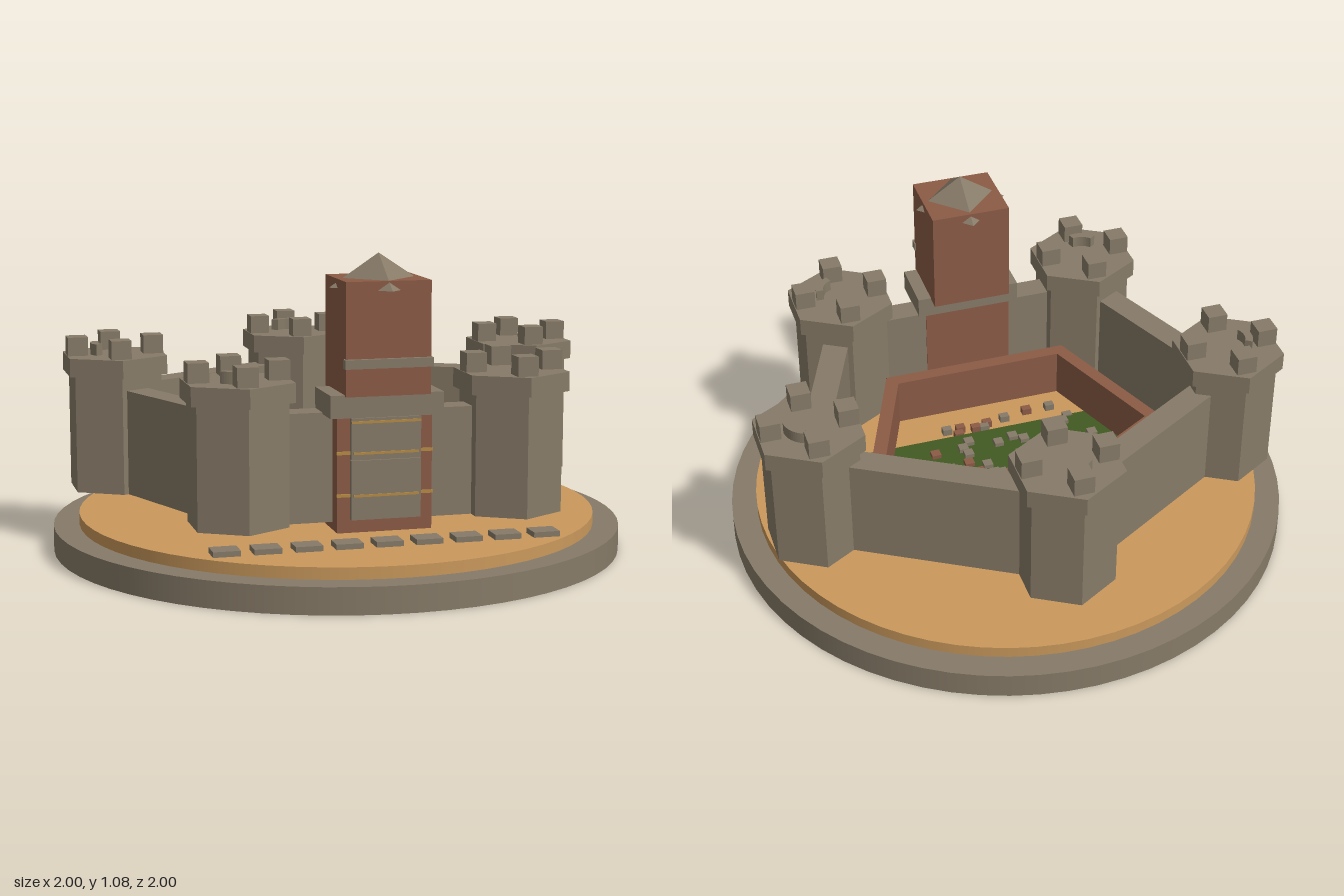
import * as THREE from 'three';

const mat = (name, color) => {
  const m = new THREE.MeshStandardMaterial({ color });
  m.name = name;
  return m;
};

export function createModel() {
  const model = new THREE.Group();
  model.name = 'fortress';
  const stone = mat('stone', 0x877b68);
  const brick = mat('brick', 0x8c5b46);
  const sand = mat('sand', 0xca995c);
  const grass = mat('grass', 0x425a22);
  const brass = mat('brass', 0xb58b45);

  const add = (name, geo, material, x, y, z, parent = model) => {
    const m = new THREE.Mesh(geo, material);
    m.name = name;
    m.position.set(x, y, z);
    parent.add(m);
    return m;
  };
  // Box given by its centre in x and z, and its bottom and top heights
  const box = (name, material, x, z, w, d, y0, y1, parent) =>
    add(name, new THREE.BoxGeometry(w, y1 - y0, d), material, x, (y0 + y1) / 2, z, parent);
  // Straight wall between two points [x, z]
  const wall = (name, material, a, b, thick, y0, y1, extra = 0) => {
    const dx = b[0] - a[0], dz = b[1] - a[1];
    const m = box(name, material, (a[0] + b[0]) / 2, (a[1] + b[1]) / 2,
      Math.hypot(dx, dz) + extra, thick, y0, y1);
    m.rotation.y = -Math.atan2(dz, dx);
  };

  // Round base and sandy ground
  add('base', new THREE.CylinderGeometry(1, 1, 0.09, 64), stone, 0, 0.045, 0);
  add('ground', new THREE.CylinderGeometry(0.91, 0.91, 0.05, 64), sand, 0, 0.105, 0);

  // Five hexagonal towers, in ring order
  const towers = [[0.755, -0.205], [0.47, 0.513], [-0.465, 0.513], [-0.755, -0.205], [-0.005, -0.645]];
  const bodyGeo = new THREE.CylinderGeometry(0.175, 0.175, 0.41, 6).toNonIndexed();
  const capGeo = new THREE.CylinderGeometry(0.197, 0.197, 0.065, 6).toNonIndexed();
  bodyGeo.computeVertexNormals();
  capGeo.computeVertexNormals();

  // Low curved parapet standing on each tower
  const arc = new THREE.Shape();
  arc.absarc(0, 0, 0.085, -0.6, 0.6, false);
  arc.absarc(0, 0, 0.058, 0.6, -0.6, true);
  const arcGeo = new THREE.ExtrudeGeometry(arc, { depth: 0.04, bevelEnabled: false, curveSegments: 6 });
  arcGeo.rotateX(-Math.PI / 2);

  towers.forEach(([x, z], i) => {
    const tower = new THREE.Group();
    tower.name = 'tower';
    tower.position.set(x, 0, z);
    model.add(tower);
    add('towerBody', bodyGeo, stone, 0, 0.405, 0, tower);
    add('towerCap', capGeo, stone, 0, 0.6425, 0, tower);
    for (const [mx, mz] of [[1, 0], [-1, 0], [0, 1], [0, -1]])
      box('merlon', stone, mx * 0.133, mz * 0.133, 0.07, 0.07, 0.67, 0.74, tower);
    const parapet = add('parapet', arcGeo, stone, 0, 0.675, 0, tower);
    parapet.rotation.y = -(i * 72 - 36) * Math.PI / 180;
    wall('curtainWall', stone, [x, z], towers[(i + 1) % 5], 0.092, 0.2, 0.565);
  });

  // Inner brick enclosure
  const ring = [[0, -0.44], [0.515, -0.14], [0.325, 0.353], [-0.325, 0.353], [-0.515, -0.14]];
  ring.forEach((p, i) => wall('innerWall', brick, p, ring[(i + 1) % 5], 0.048, 0.2, 0.375, 0.035));

  // Lawn with scattered rubble
  box('lawn', grass, 0, 0, 0.92, 0.36, 0.18, 0.2);
  let seed = 11;
  const rand = () => (seed = (seed * 16807) % 2147483647) / 2147483647;
  for (let i = 0; i < 50; i++)
    box('rubble', i % 5 === 0 ? brick : stone, -0.35 + rand() * 0.82, -0.17 + rand() * 0.32,
      0.034, 0.034, 0.19, 0.215);
  for (let i = 0; i < 20; i++) {
    const back = i % 2;
    box('rubble', i % 4 === 0 ? brick : stone, back ? 0.02 + rand() * 0.2 : -0.3 + rand() * 0.46,
      back ? -0.34 + rand() * 0.14 : 0.18 + rand() * 0.1, 0.034, 0.026, 0.18, 0.205);
  }

  // Row of stepping stones
  for (let i = 0; i < 9; i++)
    box('steppingStone', stone, -0.55 + i * 0.1338, 0.705, 0.09, 0.075, 0.15, 0.168);

  // Gatehouse: brick frame, door, hinges and stone lintel
  box('gateFrame', brick, 0, 0.5425, 0.32, 0.159, 0.175, 0.56);
  for (const [y0, y1] of [[0.22, 0.416], [0.42, 0.555]])
    box('doorPanel', stone, 0, 0.628, 0.235, 0.025, y0, y1);
  box('doorBacking', stone, 0, 0.624, 0.235, 0.016, 0.4, 0.43);
  for (const y of [0.3, 0.44, 0.542])
    box('hingeBand', brass, 0, 0.641, y > 0.5 ? 0.235 : 0.22, 0.006, y - 0.004, y + 0.004);
  for (const y of [0.3, 0.44])
    for (const s of [-1, 1])
      box('hinge', brass, s * 0.14, 0.624, 0.045, 0.01, y - 0.005, y + 0.005);
  box('lintel', stone, -0.002, 0.56, 0.38, 0.2, 0.56, 0.635);

  // Keep above the gate with front beam and pointed roof
  box('keep', brick, -0.002, 0.54, 0.284, 0.262, 0.63, 1.0);
  box('keepBeam', stone, -0.003, 0.672, 0.295, 0.03, 0.722, 0.752);
  const roofGeo = new THREE.ConeGeometry(0.166, 0.11, 4).toNonIndexed();
  roofGeo.computeVertexNormals();
  add('roof', roofGeo, stone, -0.001, 1.025, 0.543);

  return model;
}
